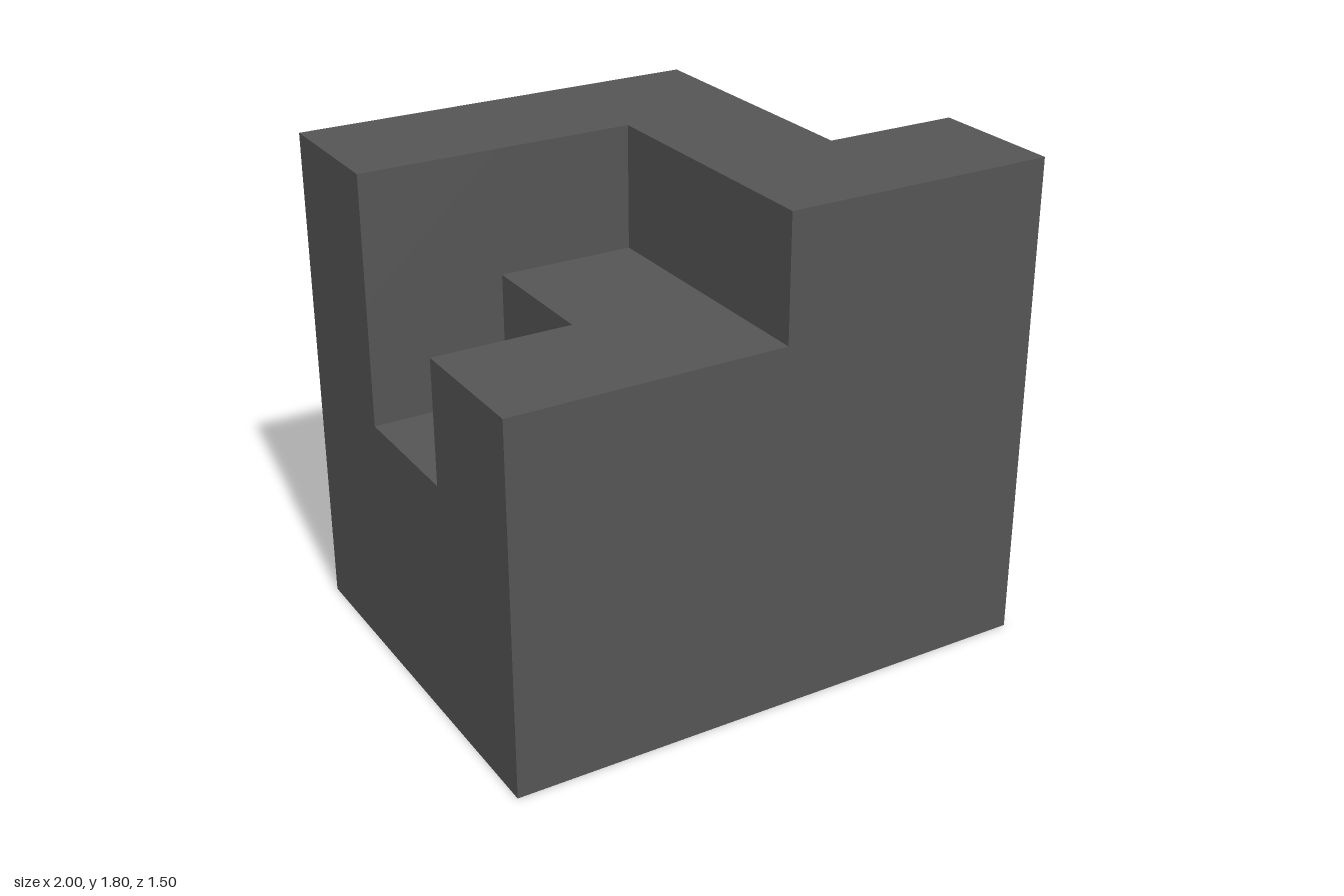
import * as THREE from 'three';

const CELL = 0.5, STEP = 0.45;

// Height of each cell in steps: rows run back to front, columns from -x to +x.
const LEVELS = [
  [4, 4, 4, 3],
  [2, 3, 4, 3],
  [3, 3, 4, 4],
];

const levelAt = (col, row) => LEVELS[row]?.[col] ?? 0;

export function createModel() {
  const group = new THREE.Group();
  group.name = 'steppedBlock';
  const darkGrey = new THREE.MeshStandardMaterial({ color: 0x555555, side: THREE.DoubleSide });
  darkGrey.name = 'darkGrey';

  // Each quad starts at grid corner o and spans u and v; it faces u x v.
  const X = [1, 0, 0], Y = [0, 1, 0], Z = [0, 0, 1];
  const addQuad = (list, o, u, v) => {
    const corner = (a, b) => [
      (o[0] + a * u[0] + b * v[0]) * CELL - 1,
      (o[1] + a * u[1] + b * v[1]) * STEP,
      (o[2] + a * u[2] + b * v[2]) * CELL - 0.75,
    ];
    const [a, b, c, d] = [corner(0, 0), corner(1, 0), corner(1, 1), corner(0, 1)];
    list.push(...a, ...b, ...c, ...a, ...c, ...d);
  };

  const treads = [], walls = [];
  LEVELS.forEach((row, r) => row.forEach((level, c) => {
    // Flat top of the cell
    addQuad(treads, [c, level, r], Z, X);
    // Exposed sides, one step at a time, down to the neighbouring cell
    const sides = [
      [1, 0, [c + 1, r], Y, Z],
      [-1, 0, [c, r], Z, Y],
      [0, 1, [c, r + 1], X, Y],
      [0, -1, [c, r], Y, X],
    ];
    for (const [dc, dr, [x, z], u, v] of sides) {
      for (let y = levelAt(c + dc, r + dr); y < level; y++) addQuad(walls, [x, y, z], u, v);
    }
  }));

  // The shell is open underneath
  for (const [name, positions] of [['steppedTop', treads], ['walls', walls]]) {
    const geometry = new THREE.BufferGeometry();
    geometry.setAttribute('position', new THREE.Float32BufferAttribute(positions, 3));
    geometry.computeVertexNormals();
    const mesh = new THREE.Mesh(geometry, darkGrey);
    mesh.name = name;
    group.add(mesh);
  }
  return group;
}
